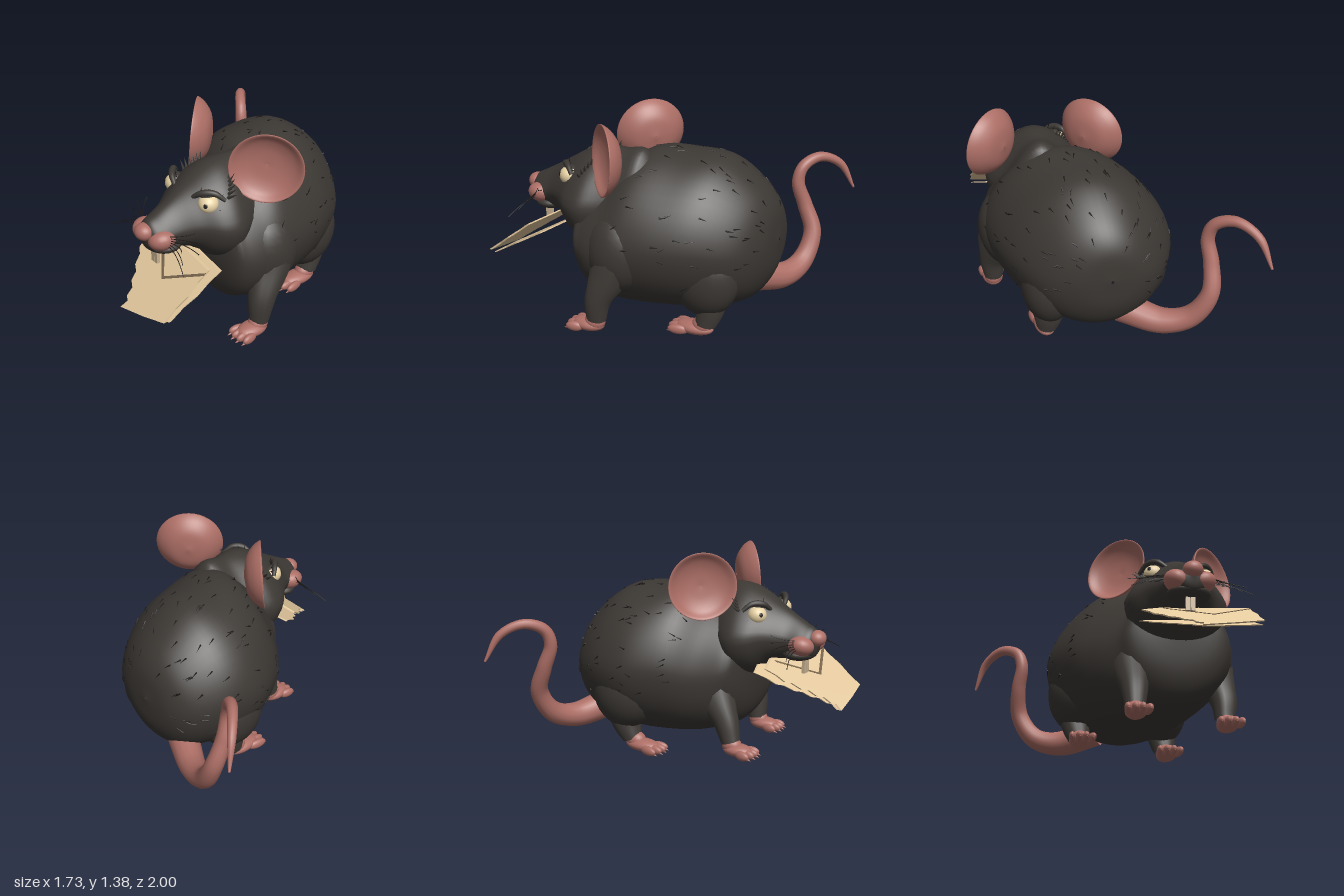
import * as THREE from 'three';

const V = (x, y, z) => new THREE.Vector3(x, y, z);
const mat = (name, color, side = THREE.FrontSide) => {
  const m = new THREE.MeshStandardMaterial({ color, side });
  m.name = name;
  return m;
};

// Surface through [z, xMin, xMax, yMin, yMax] sections; k narrows the upper half
function sampler(sections, k) {
  const centres = new THREE.CatmullRomCurve3(sections.map(s => V((s[1] + s[2]) / 2, (s[3] + s[4]) / 2, s[0])), false, 'catmullrom');
  const sizes = new THREE.CatmullRomCurve3(sections.map(s => V((s[2] - s[1]) / 2, (s[4] - s[3]) / 2, 0)), false, 'catmullrom');
  return (t, a) => {
    const c = centres.getPoint(t), r = sizes.getPoint(t), s = Math.sin(a);
    return V(c.x + r.x * Math.cos(a) * (1 - k * Math.max(0, s)), c.y + r.y * s, c.z);
  };
}

function loft(surface, rows, cols) {
  const pos = [], index = [];
  for (let i = 0; i <= rows; i++)
    for (let j = 0; j < cols; j++) pos.push(...surface(i / rows, j / cols * Math.PI * 2).toArray());
  for (let i = 0; i < rows; i++)
    for (let j = 0; j < cols; j++) {
      const a = i * cols + j, b = i * cols + (j + 1) % cols;
      index.push(a, b, a + cols, b, b + cols, a + cols);
    }
  const g = new THREE.BufferGeometry();
  g.setAttribute('position', new THREE.Float32BufferAttribute(pos, 3));
  g.setIndex(index);
  g.computeVertexNormals();
  return g;
}

// Tube whose radius follows a list of values
function taperedTube(points, radii, n = 24) {
  const curve = new THREE.CatmullRomCurve3(points.map(p => V(...p)));
  const g = new THREE.TubeGeometry(curve, n, 1, 14), p = g.attributes.position;
  for (let i = 0; i <= n; i++) {
    const c = curve.getPointAt(i / n), f = i / n * (radii.length - 1), k = Math.min(Math.floor(f), radii.length - 2);
    const r = THREE.MathUtils.lerp(radii[k], radii[k + 1], f - k);
    for (let j = 0; j < 15; j++) {
      const q = V().fromBufferAttribute(p, i * 15 + j).sub(c).multiplyScalar(r).add(c);
      p.setXYZ(i * 15 + j, q.x, q.y, q.z);
    }
  }
  return g;
}

// Sheet drawn in x and y, leaned onto a sloping plane; open swings its top backwards
function sheet(points, depth, offset, open) {
  const g = new THREE.ExtrudeGeometry(new THREE.Shape(points.map(p => new THREE.Vector2(...p))), { depth, bevelEnabled: false });
  const p = g.attributes.position;
  for (let i = 0; i < p.count; i++) {
    const x = p.getX(i), y = p.getY(i);
    p.setZ(i, p.getZ(i) + offset + 0.58 + (0.64 + 0.109 * (x - 0.11) - y) / 0.748 - open * (y - 0.36));
    p.setY(i, y - open * 0.6 * (y - 0.36));
  }
  g.computeVertexNormals();
  return g;
}

export function createModel() {
  const model = new THREE.Group();
  model.name = 'rat';
  const fur = mat('charcoal fur', 0x3c3834), dark = mat('black hair', 0x1f1c1a);
  const skin = mat('pink skin', 0xad6f66, THREE.DoubleSide);
  const cream = mat('eye cream', 0xecd6a8), ivory = mat('tooth ivory', 0xc9b291);
  const paper = mat('tan paper', 0xe4c99e), fold = mat('paper fold', 0x75624a);
  const add = (name, geometry, material, parent = model) => {
    const m = new THREE.Mesh(geometry, material);
    m.name = name;
    parent.add(m);
    return m;
  };
  const ball = (name, material, at, size, parent = model) => {
    const m = add(name, new THREE.SphereGeometry(1, 22, 16), material, parent);
    m.position.set(...at);
    m.scale.set(...size);
    return m;
  };

  // Body and head
  const body = sampler([
    [-0.81, 0.09, 0.11, 0.59, 0.61], [-0.78, -0.11, 0.32, 0.37, 0.81], [-0.67, -0.26, 0.51, 0.2, 0.965],
    [-0.46, -0.365, 0.66, 0.12, 1.11], [-0.23, -0.38, 0.75, 0.1, 1.14], [0, -0.28, 0.79, 0.1, 1.14],
    [0.16, -0.14, 0.79, 0.13, 1.02], [0.28, 0.0, 0.76, 0.19, 0.95], [0.36, 0.1, 0.69, 0.34, 0.9],
    [0.42, 0.38, 0.4, 0.66, 0.68]], 0.15);
  add('body', loft(body, 54, 48), fur);
  const head = sampler([
    [-0.14, 0.38, 0.39, 0.8, 0.82], [-0.03, 0.17, 0.6, 0.55, 1.14], [0.14, 0.13, 0.64, 0.5, 1.15], [0.3, 0.05, 0.72, 0.5, 1.145],
    [0.42, 0.07, 0.7, 0.55, 1.1], [0.53, 0.16, 0.61, 0.64, 1.035], [0.64, 0.24, 0.54, 0.67, 0.97],
    [0.74, 0.265, 0.515, 0.68, 0.915], [0.8, 0.3, 0.48, 0.7, 0.88], [0.83, 0.38, 0.4, 0.78, 0.8]], 0.33);
  add('head', loft(head, 54, 40), fur);
  ball('chin', fur, [0.387, 0.715, 0.69], [0.14, 0.052, 0.115]);

  // Fur tufts lying along the surface
  let seed = 7;
  const rand = () => (seed = (seed * 16807) % 2147483647) / 2147483647;
  const tufts = new THREE.Group();
  tufts.name = 'furTufts';
  model.add(tufts);
  const tuftShape = new THREE.ConeGeometry(0.006, 0.055, 4);
  for (let i = 0; i < 120; i++) {
    const t = 0.12 + rand() * 0.5, a = -0.5 + rand() * (Math.PI + 1);
    const p = body(t, a), dir = body(t - 0.02, a + (rand() - 0.5) * 0.1).sub(p).normalize();
    const m = add('tuft', tuftShape, dark, tufts);
    m.position.copy(p);
    m.quaternion.setFromUnitVectors(V(0, 1, 0), dir);
  }

  // Cupped ears
  const ear = loft(sampler([
    [-0.075, -0.01, 0.01, -0.01, 0.01], [-0.055, -0.12, 0.12, -0.12, 0.12], [-0.01, -0.19, 0.19, -0.185, 0.19],
    [0.04, -0.23, 0.23, -0.22, 0.225], [0.045, -0.22, 0.22, -0.21, 0.215], [0.01, -0.17, 0.17, -0.17, 0.17],
    [-0.015, -0.1, 0.1, -0.1, 0.1], [-0.025, -0.005, 0.005, -0.005, 0.005]], 0), 35, 40);
  for (const [side, x, z] of [[-1, 0.05, 0.125], [1, 0.67, 0.1]]) {
    const m = add(side < 0 ? 'rightEar' : 'leftEar', ear, skin);
    m.position.set(x, 1.15, z);
    m.rotation.set(-0.06, side * 0.77, 0, 'YXZ');
    for (let i = 0; i < 6; i++) {
      const h = add('earTuft', new THREE.ConeGeometry(0.016, 0.1, 5), fur);
      h.position.set(0.385 + side * (0.15 + i * 0.02), 1.09 - i * 0.016, 0.28 + i * 0.012);
      h.rotation.set(-0.4, 0, -side * (0.2 + i * 0.15));
    }
  }

  // Eyes, lids, brows, muzzle pads, teeth and whiskers
  for (const s of [-1, 1]) {
    const X = d => 0.385 + s * d;
    ball('eye', cream, [X(0.17), 0.967, 0.457], [0.063, 0.06, 0.064]);
    const look = V(s * 0.55, 0.2, 0.75).normalize();
    const pupil = ball('pupil', dark, [X(0.17) + look.x * 0.063, 0.967 + look.y * 0.06, 0.457 + look.z * 0.064], [0.013, 0.015, 0.004]);
    pupil.quaternion.setFromUnitVectors(V(0, 0, 1), look);
    const lid = add('eyelid', new THREE.SphereGeometry(0.07, 20, 8, 0, Math.PI * 2, 0, 0.8), fur);
    lid.position.set(X(0.17), 0.967, 0.455);
    lid.rotation.set(-0.05, 0, s * 0.25);
    add('lowerLid', taperedTube([[X(0.105), 0.94, 0.505], [X(0.16), 0.897, 0.507], [X(0.225), 0.905, 0.46], [X(0.24), 0.94, 0.42]], [0.007, 0.011, 0.006]), fur);
    add('brow', taperedTube([[X(0.09), 0.995, 0.515], [X(0.15), 1.04, 0.495], [X(0.21), 1.045, 0.44], [X(0.25), 1.0, 0.39]], [0.014, 0.022, 0.012]), fur);
    for (let i = 0; i < 4; i++) {
      const h = add('browHair', new THREE.ConeGeometry(0.006, 0.05, 4), dark);
      h.position.set(X(0.13 + i * 0.033), 1.055 - i * 0.008, 0.48 - i * 0.025);
      h.rotation.z = -s * (0.2 + i * 0.25);
    }
    const pad = ball('muzzlePad', skin, [X(0.082), 0.778, 0.74], [0.084, 0.066, 0.088]);
    pad.rotation.z = s * 0.35;
    const tooth = add('frontTooth', new THREE.BoxGeometry(0.028, 0.12, 0.022), ivory);
    tooth.position.set(X(0.016), 0.64, 0.735);
    for (let i = 0; i < 6; i++) {
      const y = 0.76 + i * 0.012;
      const path = new THREE.QuadraticBezierCurve3(V(X(0.13), y, 0.74), V(X(0.25), y + 0.02, 0.75 - i * 0.02),
        V(X(0.38 - (i % 3) * 0.06), 0.69 + i * 0.036, 0.8 - i * 0.038));
      add('whisker', new THREE.TubeGeometry(path, 10, 0.0025, 5), dark);
    }
  }
  ball('nose', skin, [0.39, 0.825, 0.815], [0.064, 0.054, 0.06]);

  // Bitten envelope in the mouth: front panel, back panel and flap line
  const panel = [[0.24, 0.68], [0.787, 0.68], [0.78, 0.62], [0.79, 0.56], [0.775, 0.5], [0.78, 0.44],
    [0.6, 0.4], [0.39, 0.36], [0.405, 0.395], [0.37, 0.405], [0.36, 0.44], [0.31, 0.455], [0.29, 0.49],
    [0.24, 0.505], [0.21, 0.545], [0.165, 0.56], [0.15, 0.6], [0.11, 0.64]];
  add('letterFront', sheet(panel, 0.018, -0.005, 0), paper);
  add('letterBack', sheet(panel, 0.015, -0.022, 0.22), paper);
  add('letterFold', sheet([[0.25, 0.672], [0.25, 0.66], [0.52, 0.542], [0.785, 0.657], [0.785, 0.669], [0.52, 0.554]], 0.005, 0.012, 0), fold);

  // Legs
  add('rightFrontLeg', taperedTube([[0.16, 0.6, 0.12], [0.12, 0.4, 0.2], [0.115, 0.22, 0.29], [0.11, 0.09, 0.33]], [0.19, 0.155, 0.095, 0.065]), fur);
  add('leftFrontLeg', taperedTube([[0.63, 0.62, 0.02], [0.685, 0.42, 0.09], [0.727, 0.23, 0.165], [0.725, 0.09, 0.18]], [0.17, 0.15, 0.095, 0.065]), fur);
  ball('rightShoulder', fur, [0.15, 0.56, 0.14], [0.18, 0.24, 0.19]);
  ball('leftShoulder', fur, [0.635, 0.55, 0.06], [0.185, 0.27, 0.22]);
  ball('rightThigh', fur, [-0.17, 0.42, -0.34], [0.2, 0.26, 0.24]);
  ball('leftThigh', fur, [0.44, 0.41, -0.45], [0.18, 0.27, 0.23]);
  add('rightHindLeg', taperedTube([[-0.17, 0.38, -0.36], [-0.175, 0.2, -0.34], [-0.16, 0.08, -0.3]], [0.16, 0.11, 0.068]), fur);
  add('leftHindLeg', taperedTube([[0.44, 0.38, -0.46], [0.45, 0.2, -0.49], [0.46, 0.08, -0.47]], [0.16, 0.11, 0.068]), fur);

  // Paws with four clawed toes
  for (const [name, x, heel, toe] of [['rightFrontPaw', 0.108, 0.27, 0.545], ['leftFrontPaw', 0.727, 0.12, 0.4],
    ['rightHindPaw', -0.16, -0.35, -0.02], ['leftHindPaw', 0.462, -0.53, -0.2]]) {
    const paw = new THREE.Group(), L = toe - heel;
    paw.name = name;
    paw.position.set(x, 0, heel);
    model.add(paw);
    ball('ankle', skin, [0, 0.072, L * 0.25], [0.06, 0.06, 0.07], paw);
    ball('palm', skin, [0, 0.046, L * 0.42], [0.072, 0.045, L * 0.4], paw);
    for (let i = -1.5; i < 2; i++) {
      const z = L * (0.82 - Math.abs(i) * 0.05);
      ball('toe', skin, [i * 0.042, 0.034, z - 0.02], [0.025, 0.033, L * 0.21], paw).rotation.y = i * 0.12;
      const claw = add('claw', new THREE.ConeGeometry(0.014, 0.045, 8), skin, paw);
      claw.position.set(i * 0.046, 0.018, z + L * 0.12);
      claw.rotation.x = Math.PI / 2 + 0.25;
    }
  }

  // Curling tail
  add('tail', taperedTube([[0, 0.26, -0.6], [-0.25, 0.195, -0.73], [-0.42, 0.25, -0.79], [-0.53, 0.42, -0.81],
    [-0.55, 0.6, -0.74], [-0.535, 0.76, -0.69], [-0.57, 0.865, -0.71], [-0.68, 0.915, -0.79], [-0.79, 0.85, -0.9],
    [-0.855, 0.67, -0.985]], [0.105, 0.093, 0.079, 0.066, 0.057, 0.049, 0.041, 0.034, 0.027, 0.008], 70), skin);
  return model;
}
